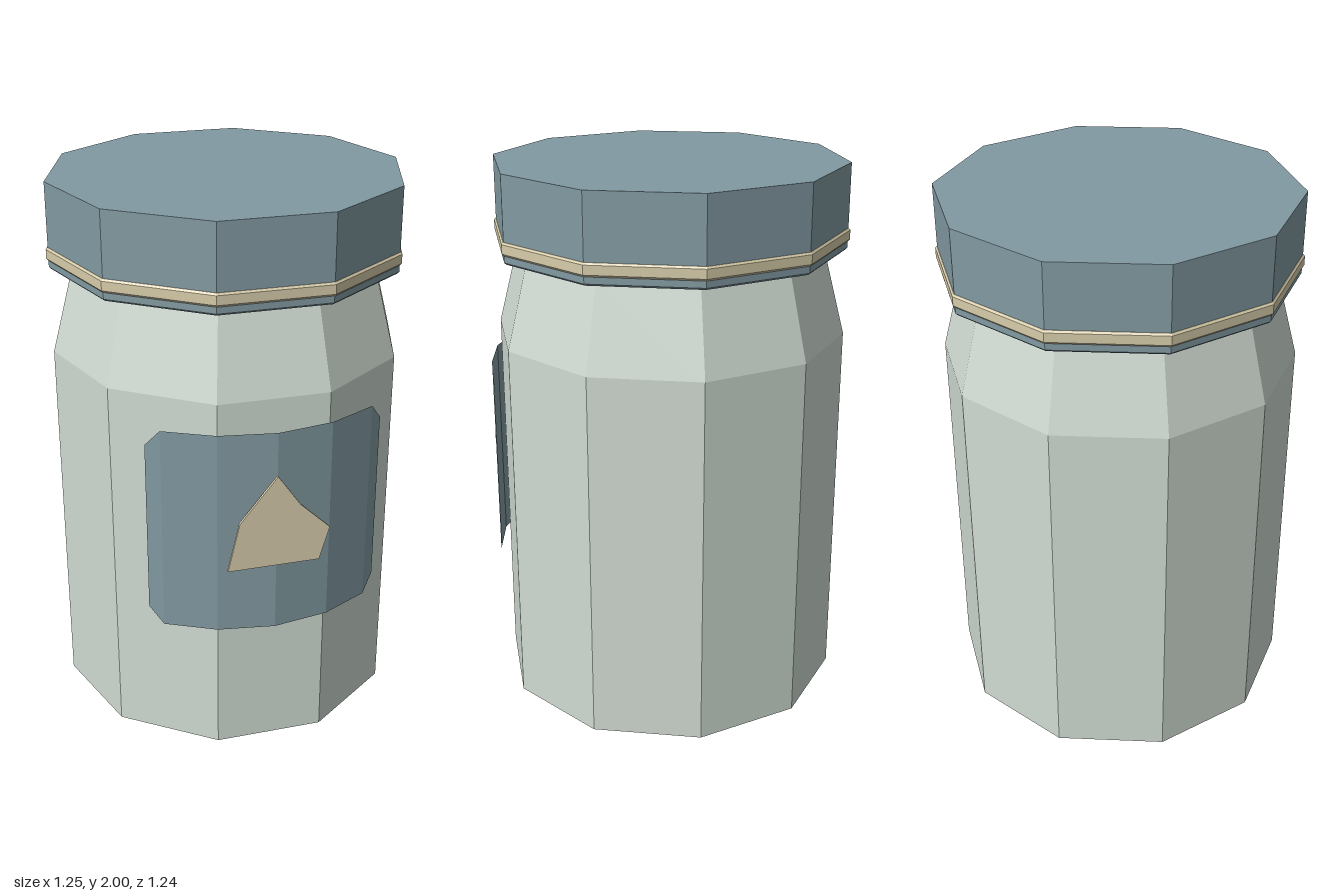
import * as THREE from 'three';

const SIDES = 10;
const AXIS_Z = -0.024; // the jar sits slightly behind the emblem

const mat = (name, color, side = THREE.FrontSide) => {
  const m = new THREE.MeshStandardMaterial({ color, side });
  m.name = name;
  return m;
};

// Faceted normals
function facet(geometry) {
  const g = geometry.index ? geometry.toNonIndexed() : geometry;
  g.computeVertexNormals();
  return g;
}

// Ten-sided solid from [radius, height] pairs, bottom to top
function turned(profile) {
  const points = profile.map(([r, y]) => new THREE.Vector2(r, y));
  return facet(new THREE.LatheGeometry(points, SIDES, Math.PI / 2));
}

// Curved label made of upright columns, with clipped corners
function curvedLabel(radius, centreY) {
  const columns = [[-40, 0.31], [-35, 0.37], [-18, 0.37], [0, 0.37], [18, 0.37], [35, 0.37], [40, 0.31]];
  const positions = [];
  const index = [];
  columns.forEach(([degrees, half], i) => {
    const a = THREE.MathUtils.degToRad(degrees);
    const x = radius * Math.sin(a);
    const z = radius * Math.cos(a);
    positions.push(x, centreY - half, z, x, centreY + half, z);
    if (i > 0) {
      const k = 2 * i;
      index.push(k - 2, k, k + 1, k - 2, k + 1, k - 1);
    }
  });
  const g = new THREE.BufferGeometry();
  g.setAttribute('position', new THREE.Float32BufferAttribute(positions, 3));
  g.setIndex(index);
  return facet(g);
}

export function createModel() {
  const glass = mat('pale glass', 0xd0dbd2);
  const blue = mat('slate blue', 0x829aa2);
  const labelBlue = blue; // label shares the lid colour
  labelBlue.side = THREE.DoubleSide;
  const tan = mat('tan', 0xd7ccaa);

  const model = new THREE.Group();
  model.name = 'jar';
  const add = (name, geometry, material, z = AXIS_Z) => {
    const mesh = new THREE.Mesh(geometry, material);
    mesh.name = name;
    mesh.position.z = z;
    model.add(mesh);
  };

  // Body with a bevelled foot and tapered shoulder
  add('body', turned([[0, 0], [0.505, 0], [0.62, 0.07], [0.62, 1.4], [0.54, 1.705], [0, 1.705]]), glass);

  // Lid and the band around its lower edge
  add('lid', turned([[0, 1.7], [0.613, 1.7], [0.62, 1.707], [0.62, 2], [0, 2]]), blue);
  add('lidBand', turned([
    [0.6, 1.73], [0.621, 1.73], [0.627, 1.737], [0.627, 1.769], [0.621, 1.776], [0.6, 1.776],
  ]), tan);

  // Label standing off the front of the jar
  add('label', curvedLabel(0.637, 0.93), labelBlue);

  // Emblem plate on the label
  const outline = [[-0.17, 0.81], [0.15, 0.81], [0.185, 0.93], [0.08, 1.03], [0, 1.145], [-0.13, 0.985]];
  const shape = new THREE.Shape(outline.map(([x, y]) => new THREE.Vector2(x, y)));
  add('emblem', new THREE.ExtrudeGeometry(shape, { depth: 0.0095, bevelEnabled: false }), tan, 0.6105);

  return model;
}
